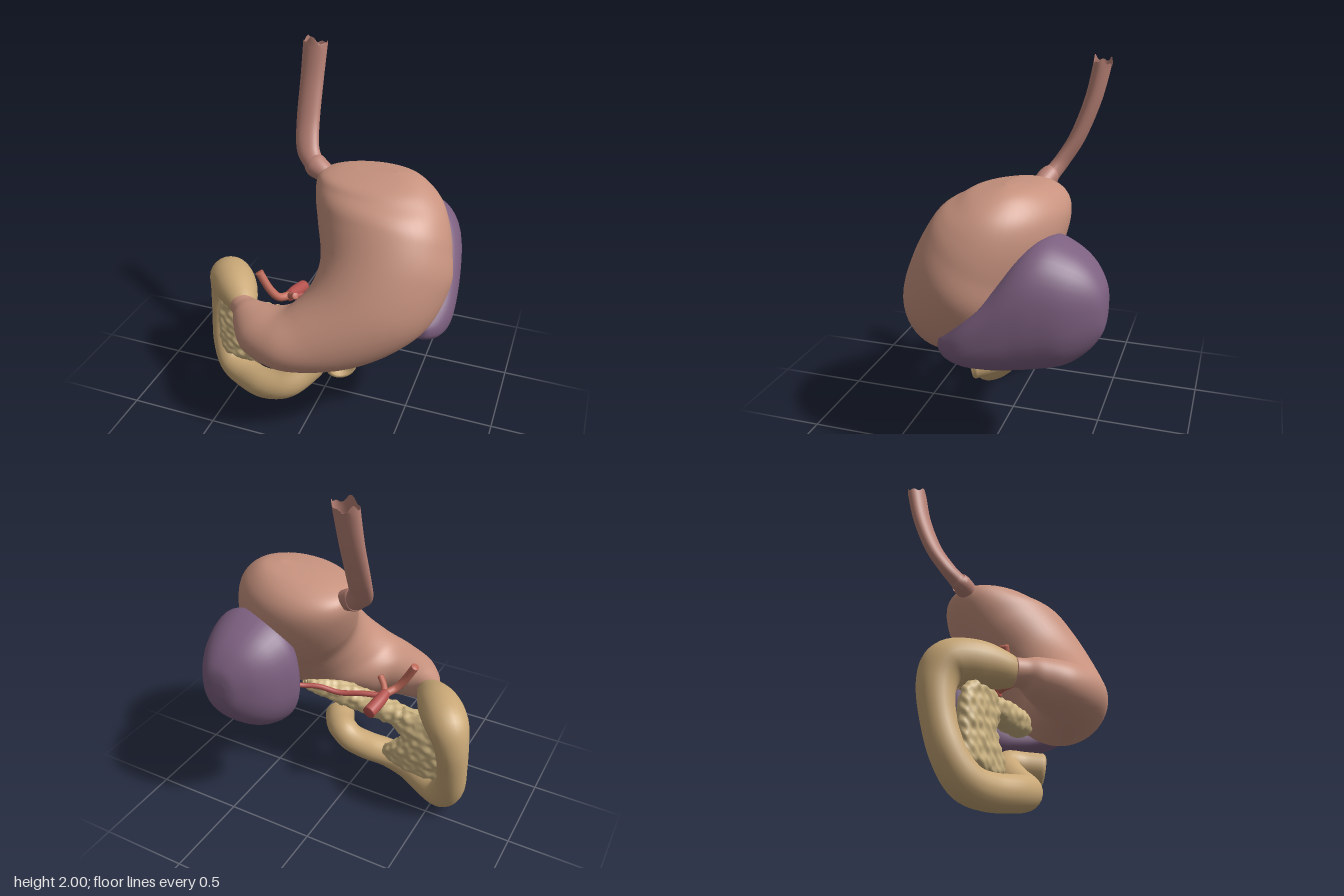
import * as THREE from 'three';

const V = (x, y, z) => new THREE.Vector3(x, y, z);
const material = (color) => new THREE.MeshStandardMaterial({ color, side: THREE.DoubleSide });

// Catmull-Rom through rows of numbers, giving `steps` rows per span.
function smooth(rows, steps) {
  const out = [];
  const at = (i) => rows[Math.min(rows.length - 1, Math.max(0, i))];
  for (let i = 0; i < rows.length - 1; i++) {
    for (let k = 0; k < steps; k++) {
      const t = k / steps;
      out.push(rows[i].map((b, c) => {
        const a = at(i - 1)[c], d = at(i + 1)[c], e = at(i + 2)[c];
        return b + 0.5 * t * (d - a + t * (2 * a - 5 * b + 4 * d - e + t * (3 * (b - d) + e - a)));
      }));
    }
  }
  out.push(rows[rows.length - 1]);
  return out;
}

// Closed ring around a centre with half-axes s and n; power < 1 makes it boxier.
function ring(center, s, n, sides, power = 1) {
  const bend = (v) => Math.sign(v) * Math.abs(v) ** power;
  return Array.from({ length: sides }, (_, j) => {
    const a = (j / sides) * Math.PI * 2;
    return center.clone().addScaledVector(s, bend(Math.cos(a))).addScaledVector(n, bend(Math.sin(a)));
  });
}

const middle = (points) => points.reduce((m, p) => m.add(p), V(0, 0, 0)).divideScalar(points.length);

// Skin over a list of rings, optionally capped at both ends.
function loft(rings, capped = true) {
  const n = rings[0].length, points = rings.flat(), index = [];
  for (let i = 0; i < rings.length - 1; i++) {
    for (let j = 0; j < n; j++) {
      const a = i * n + j, b = i * n + (j + 1) % n;
      index.push(a, b, a + n, b, b + n, a + n);
    }
  }
  const cap = (r, flip) => {
    const c = points.push(middle(rings[r])) - 1;
    for (let j = 0; j < n; j++) {
      const a = r * n + j, b = r * n + (j + 1) % n;
      index.push(c, flip ? b : a, flip ? a : b);
    }
  };
  if (capped) {
    cap(0, true);
    cap(rings.length - 1, false);
  }
  const geometry = new THREE.BufferGeometry().setFromPoints(points);
  geometry.setIndex(index);
  geometry.computeVertexNormals();
  return geometry;
}

// Rings along a path of [x, y, z, radius, second radius].
function sweep(path, { steps = 8, sides = 24, ref = V(1, 0, 0) } = {}) {
  const rows = smooth(path.map((p) => [p[0], p[1], p[2], p[3], p[4] ?? p[3]]), steps);
  const centers = rows.map((r) => V(r[0], r[1], r[2]));
  let side = ref;
  return rows.map((r, i) => {
    const t = centers[Math.min(i + 1, rows.length - 1)].clone().sub(centers[Math.max(i - 1, 0)]).normalize();
    side = side.clone().addScaledVector(t, -side.dot(t)).normalize();
    return ring(centers[i], side.clone().multiplyScalar(r[3]), t.clone().cross(side).multiplyScalar(r[4]), sides);
  });
}

// Lobulated surface: push vertices along their normals by layered waves in scattered directions.
function lumpy(geometry, amount) {
  const p = geometry.attributes.position, nor = geometry.attributes.normal;
  for (let i = 0; i < p.count; i++) {
    const [x, y, z] = [p.getX(i), p.getY(i), p.getZ(i)];
    let d = 0;
    for (let k = 1; k <= 8; k++) {
      d += Math.sin((50 + 11 * k) * (x * Math.cos(k * 2.4) + y * Math.sin(k * 2.4) + z * Math.cos(k * 1.3)) + k * k);
    }
    d *= amount / 3;
    p.setXYZ(i, x + nor.getX(i) * d, y + nor.getY(i) * d, z + nor.getZ(i) * d);
  }
  geometry.computeVertexNormals();
  return geometry;
}

export function createModel() {
  const model = new THREE.Group();
  model.name = 'upperDigestiveOrgans';
  const add = (name, geometry, color, parent = model) => {
    const mesh = new THREE.Mesh(geometry, material(color));
    mesh.name = name;
    parent.add(mesh);
  };

  // Stomach: inner-curve point, outer-curve point, half axis towards the front wall
  const stomachRings = smooth([
    [0.13, 1.43, -0.09, 0.36, 1.448, -0.08, 0, 0, 0.03],
    [0.02, 1.41, -0.11, 0.46, 1.435, -0.08, 0, 0, 0.13],
    [-0.06, 1.375, -0.14, 0.54, 1.395, -0.06, 0, 0.02, 0.21],
    [-0.085, 1.32, -0.14, 0.61, 1.33, -0.04, 0, 0.05, 0.255],
    [-0.07, 1.23, -0.09, 0.66, 1.24, 0, 0, 0.1, 0.28],
    [-0.03, 1.12, -0.01, 0.695, 1.12, 0.05, 0, 0.15, 0.27],
    [0.03, 0.98, 0.1, 0.71, 0.95, 0.13, -0.02, 0.15, 0.265],
    [0.02, 0.88, 0.19, 0.6, 0.72, 0.27, -0.04, 0.125, 0.245],
    [-0.03, 0.82, 0.27, 0.33, 0.54, 0.38, -0.06, 0.08, 0.23],
    [-0.1, 0.79, 0.34, 0.0, 0.48, 0.44, -0.04, 0.04, 0.2],
    [-0.2, 0.775, 0.37, -0.2, 0.5, 0.39, -0.08, 0, 0.14],
    [-0.31, 0.757, 0.32, -0.32, 0.55, 0.32, -0.06, 0, 0.085],
    [-0.36, 0.74, 0.28, -0.36, 0.59, 0.28, -0.05, 0, 0.055],
    [-0.4, 0.735, 0.24, -0.4, 0.595, 0.24, -0.047, 0, 0.05],
  ], 8).map((r) => {
    const l = V(r[0], r[1], r[2]), g = V(r[3], r[4], r[5]);
    return ring(middle([l, g]), g.clone().sub(l).multiplyScalar(0.5), V(r[6], r[7], r[8]), 48);
  });
  add('stomach', loft(stomachRings), 0xc8937f);

  // Oesophagus: flattened open tube with a ragged top and a collar at the stomach
  const gullet = sweep([
    [0.0, 1.32, -0.13, 0.045, 0.045], [-0.07, 1.355, -0.15, 0.057, 0.055], [-0.115, 1.375, -0.165, 0.064, 0.055],
    [-0.13, 1.385, -0.175, 0.056, 0.045], [-0.18, 1.45, -0.22, 0.066, 0.04], [-0.205, 1.58, -0.295, 0.068, 0.04],
    [-0.21, 1.78, -0.37, 0.068, 0.042], [-0.205, 1.975, -0.415, 0.071, 0.045],
  ], { sides: 32 });
  gullet[gullet.length - 1].forEach((p, j) => { p.y += 0.01 * Math.sin(j * 1.1) + 0.012 * Math.sin(j * 0.59); });
  add('oesophagus', loft(gullet, false), 0xb98276);

  // Spleen: z, low y, high y, inner x, outer x, depth of the hollow facing the stomach
  const spleenRings = smooth([
    [-0.6, 0.87, 0.95, 0.4, 0.48, 0], [-0.585, 0.78, 1.03, 0.34, 0.54, 0], [-0.52, 0.68, 1.12, 0.24, 0.6, 0],
    [-0.42, 0.6, 1.19, 0.165, 0.655, 0], [-0.3, 0.565, 1.23, 0.135, 0.69, 0], [-0.2, 0.56, 1.18, 0.2, 0.71, 0.08],
    [-0.08, 0.565, 1.03, 0.3, 0.725, 0.12], [0.05, 0.585, 0.88, 0.4, 0.725, 0.1], [0.14, 0.615, 0.78, 0.47, 0.69, 0.05],
    [0.19, 0.65, 0.73, 0.53, 0.64, 0.01], [0.2, 0.675, 0.7, 0.57, 0.6, 0],
  ], 6).map(([z, y0, y1, x0, x1, hollow]) => {
    const points = ring(V((x0 + x1) / 2, (y0 + y1) / 2, z), V((x1 - x0) / 2, 0, 0), V(0, (y1 - y0) / 2, 0), 40, 0.85);
    points.forEach((p, j) => { p.x += hollow * Math.max(0, -Math.cos(j / 20 * Math.PI)) ** 2; });
    return points;
  });
  add('spleen', loft(spleenRings), 0x7d6080);

  // Duodenum: C-shaped loop whose far end turns inwards to a hollow lumen
  const gut = sweep([
    [-0.365, 0.665, 0.255, 0.062], [-0.415, 0.67, 0.205, 0.09], [-0.5, 0.68, 0.105, 0.118], [-0.59, 0.66, 0.0, 0.118],
    [-0.635, 0.56, -0.035, 0.095], [-0.645, 0.4, -0.02, 0.083], [-0.625, 0.23, 0.025, 0.085],
    [-0.56, 0.115, 0.08, 0.09], [-0.45, 0.09, 0.14, 0.088], [-0.3, 0.11, 0.21, 0.088], [-0.16, 0.15, 0.21, 0.085],
    [-0.06, 0.225, 0.13, 0.083], [0.01, 0.31, 0.055, 0.08], [0.06, 0.355, 0.05, 0.08], [0.115, 0.355, 0.1, 0.083],
    [0.165, 0.345, 0.185, 0.088],
  ]);
  const mouth = gut[gut.length - 1], mouthMid = middle(mouth);
  for (const [scale, push] of [[0.9, 0.012], [0.72, 0.01], [0.6, -0.01], [0.5, -0.06]]) {
    gut.push(mouth.map((p) => p.clone().sub(mouthMid).multiplyScalar(scale).add(mouthMid)
      .addScaledVector(V(0.5, -0.1, 0.86), push)));
  }
  add('duodenum', loft(gut), 0xc9a877);

  // Pancreas: flat lobed head (y, low x, high x, z, half depth) and a tapering body
  const pancreas = new THREE.Group();
  pancreas.name = 'pancreas';
  model.add(pancreas);
  const headRings = smooth([
    [0.17, -0.5, -0.36, 0.1, 0.015], [0.2, -0.6, -0.24, 0.1, 0.045], [0.27, -0.63, -0.17, 0.095, 0.055],
    [0.34, -0.63, -0.22, 0.09, 0.06], [0.42, -0.63, -0.29, 0.09, 0.06], [0.5, -0.62, -0.22, 0.095, 0.055],
    [0.57, -0.58, -0.22, 0.105, 0.045], [0.6, -0.5, -0.3, 0.11, 0.02],
  ], 8).map(([y, x0, x1, z, d]) => ring(V((x0 + x1) / 2, y, z), V((x1 - x0) / 2, 0, 0), V(0, 0, -d), 90, 0.8));
  add('pancreasHead', lumpy(loft(headRings), 0.005), 0xcfb684, pancreas);
  const bodyRings = sweep([
    [-0.38, 0.53, 0.1, 0.04], [-0.28, 0.535, 0.11, 0.06], [-0.15, 0.54, 0.12, 0.068], [0, 0.56, 0.115, 0.07],
    [0.13, 0.595, 0.085, 0.066], [0.23, 0.625, 0.05, 0.056], [0.29, 0.64, 0.02, 0.035], [0.3, 0.645, 0.01, 0.01],
  ], { steps: 12, sides: 36, ref: V(0, 1, 0) });
  add('pancreasBody', lumpy(loft(bodyRings), 0.005), 0xcfb684, pancreas);

  // Arteries: thick trunk and its three branches
  const arteries = new THREE.Group();
  arteries.name = 'arteries';
  model.add(arteries);
  const artery = (name, color, path) => add(name, loft(sweep(path, { sides: 16, ref: V(0.3, 0.5, 0.8) })), color, arteries);
  artery('trunk', 0xb4524e, [[-0.16, 0.64, -0.08, 0.036], [-0.175, 0.66, 0.02, 0.036], [-0.18, 0.675, 0.09, 0.03]]);
  artery('liverBranch', 0xbf6a59, [[-0.18, 0.675, 0.08, 0.024], [-0.22, 0.69, 0.14, 0.023], [-0.265, 0.75, 0.165, 0.023], [-0.32, 0.85, 0.17, 0.023]]);
  artery('stomachBranch', 0xbf6a59, [[-0.18, 0.675, 0.08, 0.02], [-0.155, 0.7, 0.12, 0.018], [-0.115, 0.73, 0.155, 0.018]]);
  artery('spleenBranch', 0xb4524e, [[-0.17, 0.665, 0.07, 0.018], [-0.06, 0.67, 0.03, 0.016], [0.06, 0.66, -0.01, 0.016],
    [0.17, 0.69, -0.05, 0.015], [0.26, 0.7, -0.1, 0.014], [0.32, 0.74, -0.18, 0.013]]);

  return model;
}
